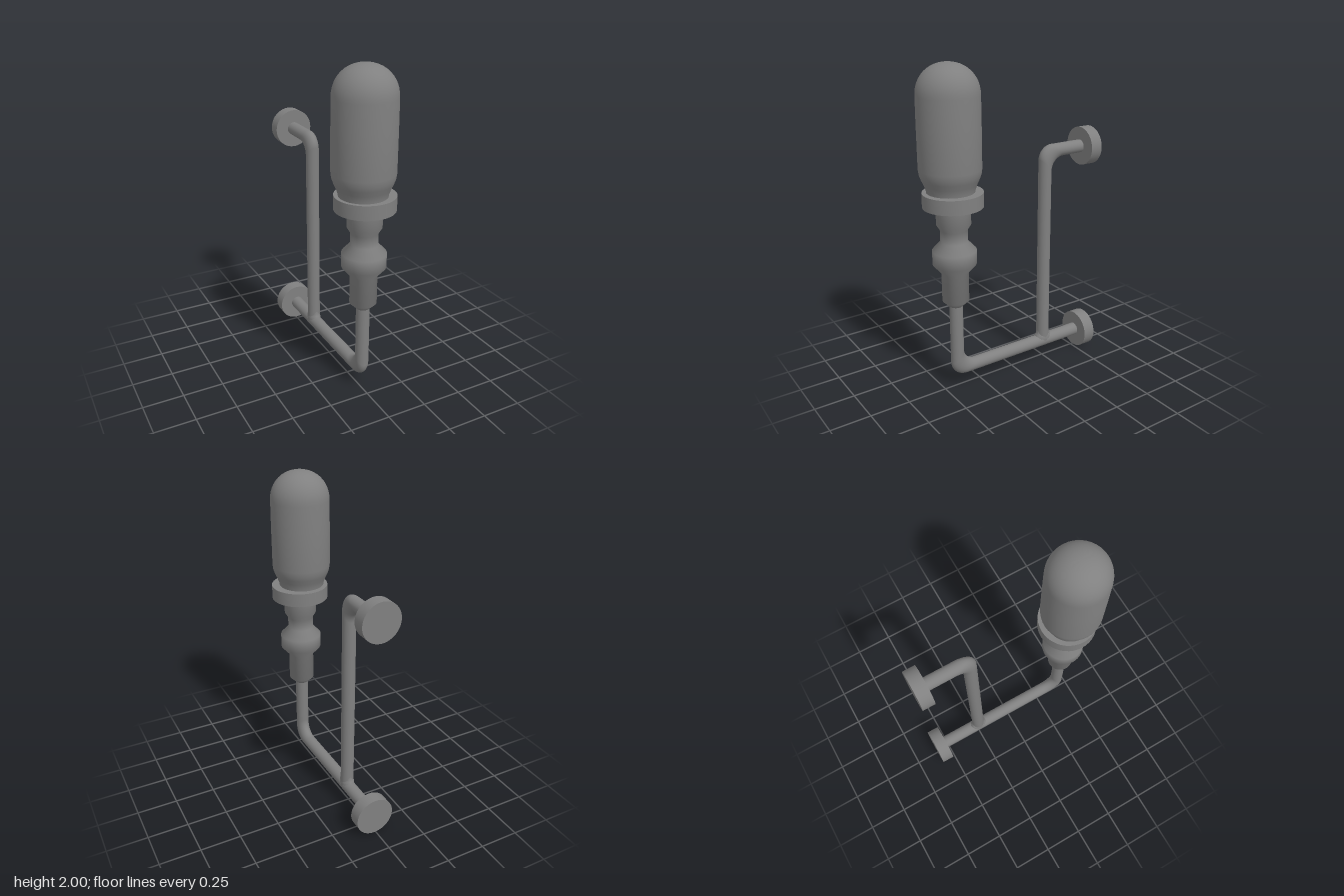
import * as THREE from 'three';
import { toCreasedNormals } from 'three/addons/utils/BufferGeometryUtils.js';
import { ParametricGeometry } from 'three/addons/geometries/ParametricGeometry.js';

const material = new THREE.MeshStandardMaterial({ color: 0x808080 });
const X = 0.009; // axis of the pipes and fittings
const PIPE = 0.041, BEND = 0.09;
const LOW = 0.122, HIGH = 1.418; // heights of the two wall pipes
const LAMP_Z = 0.412, RISER_Z = -0.244, WALL_Z = -0.595;
const PLATE = 0.079;

const vec = (y, z) => new THREE.Vector3(X, y, z);

function add(group, name, geometry, x = 0, y = 0, z = 0) {
  const mesh = new THREE.Mesh(geometry, material);
  mesh.name = name;
  mesh.position.set(x, y, z);
  group.add(mesh);
  return mesh;
}

// Turned part from [radius, height] pairs; edges above the crease angle stay sharp
function turned(pairs, crease) {
  const points = pairs.map(([r, y]) => new THREE.Vector2(r, y));
  return toCreasedNormals(new THREE.LatheGeometry(points, 40), crease);
}

// Pipe with one square elbow, its inner and outer side rounded by the same radius
function elbowPipe(start, corner, end) {
  const d1 = start.clone().sub(corner).normalize();
  const d2 = end.clone().sub(corner).normalize();
  const steps = 12;
  const surface = (u, v, target) => {
    const angle = u * Math.PI * 2;
    const w = PIPE * Math.cos(angle); // offset towards the outside of the elbow
    const row = v * (steps + 2);
    if (row < 1) {
      const near = corner.clone().addScaledVector(d1, BEND - w);
      target.copy(start).lerp(near, row).addScaledVector(d2, -w);
    } else if (row > steps + 1) {
      const near = corner.clone().addScaledVector(d2, BEND - w);
      target.copy(near).lerp(end, row - steps - 1).addScaledVector(d1, -w);
    } else {
      const t = ((row - 1) / steps) * Math.PI / 2;
      target.copy(corner)
        .addScaledVector(d1, BEND * (1 - Math.sin(t)) - w)
        .addScaledVector(d2, BEND * (1 - Math.cos(t)) - w);
    }
    target.x += PIPE * Math.sin(angle);
  };
  return new ParametricGeometry(surface, 32, steps + 2);
}

export function createModel() {
  const model = new THREE.Group();
  model.name = 'wallLamp';

  // Lower arm bending up to the lamp, and riser bending back to the wall
  add(model, 'lowerArm', elbowPipe(vec(LOW, WALL_Z + 0.02), vec(LOW, LAMP_Z), vec(0.6, LAMP_Z)));
  add(model, 'riser', elbowPipe(vec(LOW, RISER_Z), vec(HIGH, RISER_Z), vec(HIGH, WALL_Z + 0.02)));

  // Small flare where the riser meets the arm
  add(model, 'riserJoint', turned([
    [0.058, 0.02], [0.056, 0.041], [0.049, 0.049], [0.044, 0.06], [PIPE, 0.078],
  ], 1), X, LOW, RISER_Z).scale.x = 0.72;

  // Round wall plates
  for (const [name, y] of [['lowerWallPlate', LOW], ['upperWallPlate', HIGH]]) {
    const plate = new THREE.CylinderGeometry(0.121, 0.121, PLATE, 40);
    add(model, name, plate, X, y, WALL_Z + PLATE / 2).rotation.x = Math.PI / 2;
  }

  // Stepped lamp holder with soft chamfers
  add(model, 'lampHolder', turned([
    [0.04, 0.558], [0.081, 0.598], [0.081, 0.778], [0.131, 0.836],
    [0.131, 0.92], [0.081, 0.974], [0.081, 1.046], [0.102, 1.081], [0.102, 1.2],
  ], 1), X, 0, LAMP_Z);

  // Collar carrying the shade
  add(model, 'collar', turned([
    [0, 1.188], [0.178, 1.188], [0.178, 1.274], [0, 1.274],
  ], 0.5), X, 0, LAMP_Z);

  // Domed shade with a tapered foot
  const shade = [
    [0.14, 1.26], [0.142, 1.285], [0.154, 1.32], [0.168, 1.35],
    [0.178, 1.378], [0.182, 1.41], [0.182, 1.65],
  ];
  const rings = 12;
  for (let i = 0; i < rings; i++) {
    const t = (i / rings) * Math.PI / 2;
    shade.push([0.181 * Math.cos(t) ** 0.95, 1.82 + 0.18 * Math.sin(t) ** 0.95]);
  }
  shade.push([0, 2]);
  add(model, 'shade', turned(shade, 0.8), -0.006, 0, 0.416);

  return model;
}
